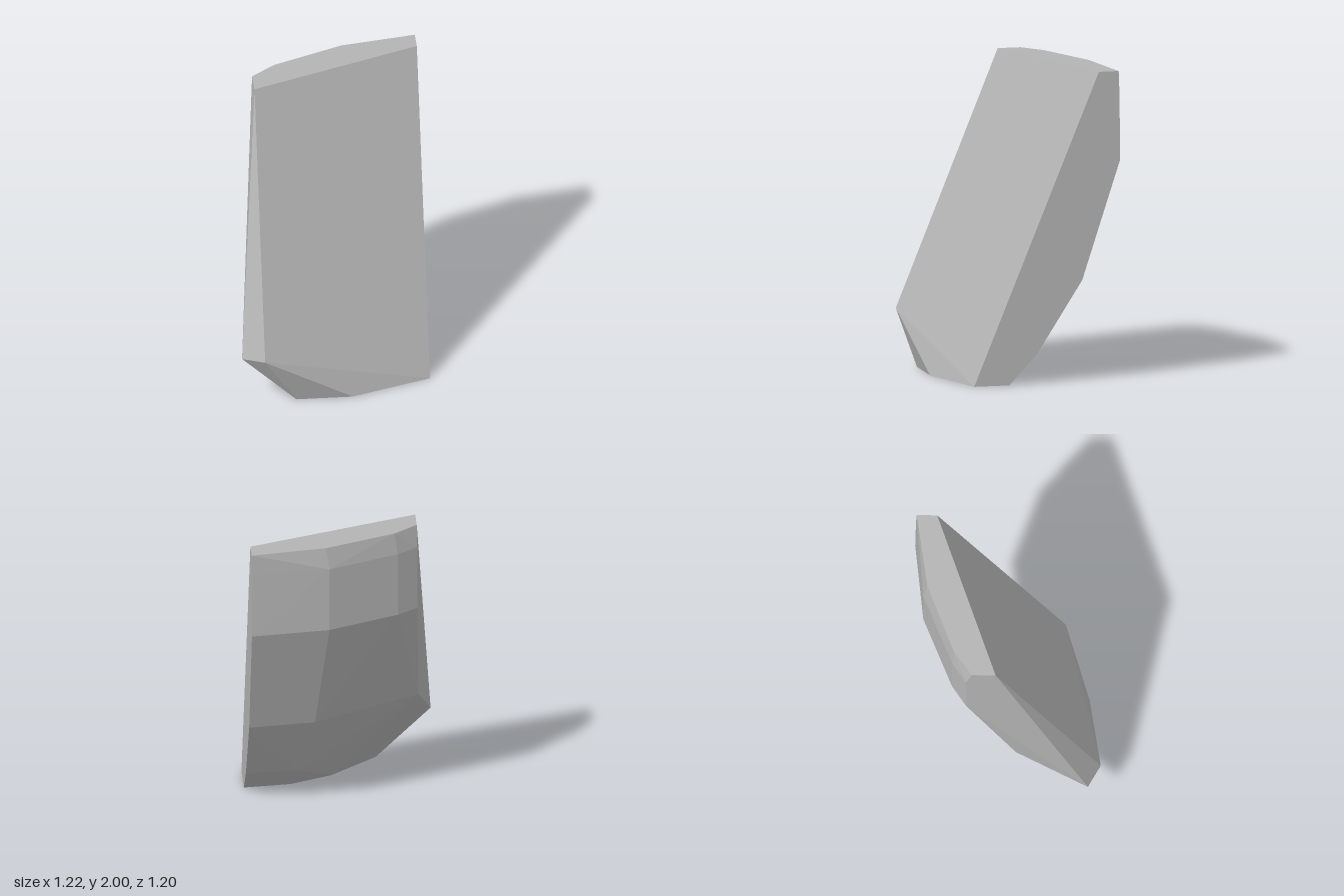
import * as THREE from 'three';
import { ConvexGeometry } from 'three/addons/geometries/ConvexGeometry.js';

// Horizontal sections of the faceted stone: height, then [x, z] corners
const sections = [
  // flat top
  [2.0, [[0.61, -0.46], [0.61, -0.59], [0.13, -0.515], [-0.32, -0.335], [-0.47, -0.22], [-0.47, -0.07]]],
  // bevel below the top, then the upright part of the back
  [1.86, [[0.61, -0.595], [0.11, -0.54], [-0.34, -0.35], [-0.47, -0.26]]],
  [1.43, [[0.61, -0.6], [0.11, -0.54], [-0.34, -0.35], [-0.47, -0.26]]],
  // back curving under
  [0.66, [[0.61, -0.35], [0.186, -0.3], [-0.2, -0.09], [-0.5, 0.06]]],
  [0.19, [[0.61, -0.05], [0.28, -0.03]]],
  // lower front corner
  [0.35, [[-0.47, 0.6]]],
  [0.335, [[-0.61, 0.52]]],
  // flat foot
  [0, [[0.61, 0.36], [0.1, 0.52], [-0.26, 0.515], [0.04, 0.27], [0.31, 0.16], [0.61, 0.13]]],
];

export function createModel() {
  const model = new THREE.Group();
  model.name = 'leaningStone';

  const stoneGrey = new THREE.MeshStandardMaterial({ color: 0xb4b4b4, flatShading: true });
  stoneGrey.name = 'stone grey';

  // One convex faceted block through all the sections
  const corners = sections.flatMap(([y, ring]) => ring.map(([x, z]) => new THREE.Vector3(x, y, z)));
  const block = new THREE.Mesh(new ConvexGeometry(corners), stoneGrey);
  block.name = 'stoneBlock';
  model.add(block);

  return model;
}
